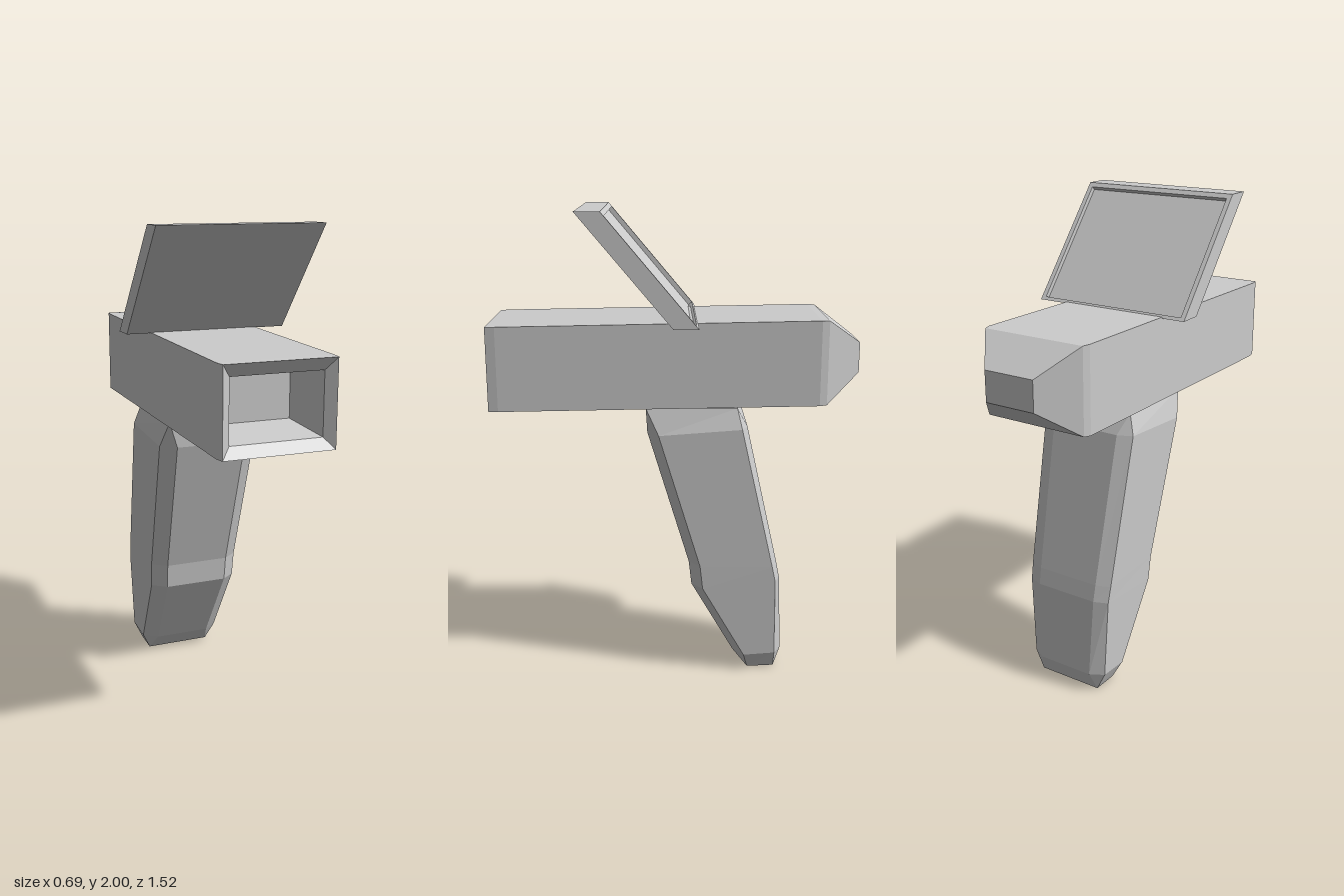
import * as THREE from 'three';

const grey = new THREE.MeshStandardMaterial({ color: 0xcccccc });
grey.name = 'grey';

// Skins a list of rings (counterclockwise seen from the last ring) and caps both ends
function loft(name, rings) {
  const pos = [];
  const tri = (a, b, c) => pos.push(...a, ...b, ...c);
  const n = rings[0].length;
  for (let r = 0; r < rings.length - 1; r++) {
    const a = rings[r], b = rings[r + 1];
    for (let i = 0; i < n; i++) {
      const j = (i + 1) % n;
      tri(a[i], a[j], b[j]);
      tri(a[i], b[j], b[i]);
    }
  }
  const first = rings[0], last = rings[rings.length - 1];
  for (let i = 1; i < n - 1; i++) {
    tri(first[0], first[i + 1], first[i]);
    tri(last[0], last[i], last[i + 1]);
  }
  const geo = new THREE.BufferGeometry();
  geo.setAttribute('position', new THREE.Float32BufferAttribute(pos, 3));
  geo.computeVertexNormals();
  const mesh = new THREE.Mesh(geo, grey);
  mesh.name = name;
  return mesh;
}

// Long housing, tapered at the back, with a funnel-shaped opening at the front
function makeHousing() {
  const sections = [ // z, x0, x1, y0, y1
    [-0.76, -0.125, 0.095, 1.335, 1.46],
    [-0.615, -0.24, 0.207, 1.222, 1.567],
    [-0.585, -0.25, 0.215, 1.22, 1.568],
    [0.72, -0.25, 0.215, 1.2, 1.546],
    [0.76, -0.242, 0.21, 1.2, 1.545],
    [0.73, -0.205, 0.17, 1.245, 1.495],
    [0.52, -0.165, 0.135, 1.275, 1.475],
  ];
  return loft('housing', sections.map(([z, x0, x1, y0, y1]) =>
    [[x0, y0, z], [x1, y0, z], [x1, y1, z], [x0, y1, z]]));
}

// Slanted screen with a shallow recess on its upper face
function makeScreen() {
  const ring = (x0, x1, t0, t1, dz, dy) => {
    const p = (x, t) => [x, 1.555 + 0.445 * t + dy, -0.09 + 0.375 * t + dz];
    return [p(x1, t0), p(x0, t0), p(x0, t1), p(x1, t1)];
  };
  return loft('screen', [
    ring(-0.35, 0.345, 0, 1, 0.1, 0),
    ring(-0.35, 0.345, 0, 1, 0, 0),
    ring(-0.33, 0.325, 0.027, 0.963, 0, 0),
    ring(-0.33, 0.325, 0.027, 0.963, 0.015, -0.013),
  ]);
}

// Raked grip with chamfered corners that close up at both ends
function makeGrip() {
  const cx = -0.022;
  const sections = [ // front y, z, chamfer z; back y, z, chamfer z; half width, inner half width
    [1.2, 0.122, 0.122, 1.2, -0.255, -0.255, 0.188, 0.188],
    [1.09, 0.117, 0.07, 1.115, -0.3, -0.275, 0.215, 0.153],
    [0.505, -0.058, -0.105, 0.5, -0.438, -0.415, 0.199, 0.139],
    [0.4, -0.07, -0.117, 0.43, -0.452, -0.43, 0.196, 0.137],
    [0.075, -0.255, -0.3, 0.085, -0.467, -0.435, 0.18, 0.122],
    [0, -0.32, -0.32, 0.005, -0.435, -0.435, 0.142, 0.142],
  ];
  const rings = sections.map(([yf, zf, zfi, yb, zb, zbi, w, wi]) => [
    [cx - wi, yf, zf], [cx + wi, yf, zf],
    [cx + w, yf, zfi], [cx + w, yb, zbi],
    [cx + wi, yb, zb], [cx - wi, yb, zb],
    [cx - w, yb, zbi], [cx - w, yf, zfi],
  ]);
  return loft('grip', rings.reverse());
}

export function createModel() {
  const model = new THREE.Group();
  model.name = 'handheldScanner';

  // Thin collar joining the grip to the housing
  const collar = new THREE.Mesh(new THREE.BoxGeometry(0.35, 0.04, 0.35), grey);
  collar.name = 'gripCollar';
  collar.position.set(-0.022, 1.205, -0.07);

  model.add(makeHousing(), makeScreen(), makeGrip(), collar);
  return model;
}
